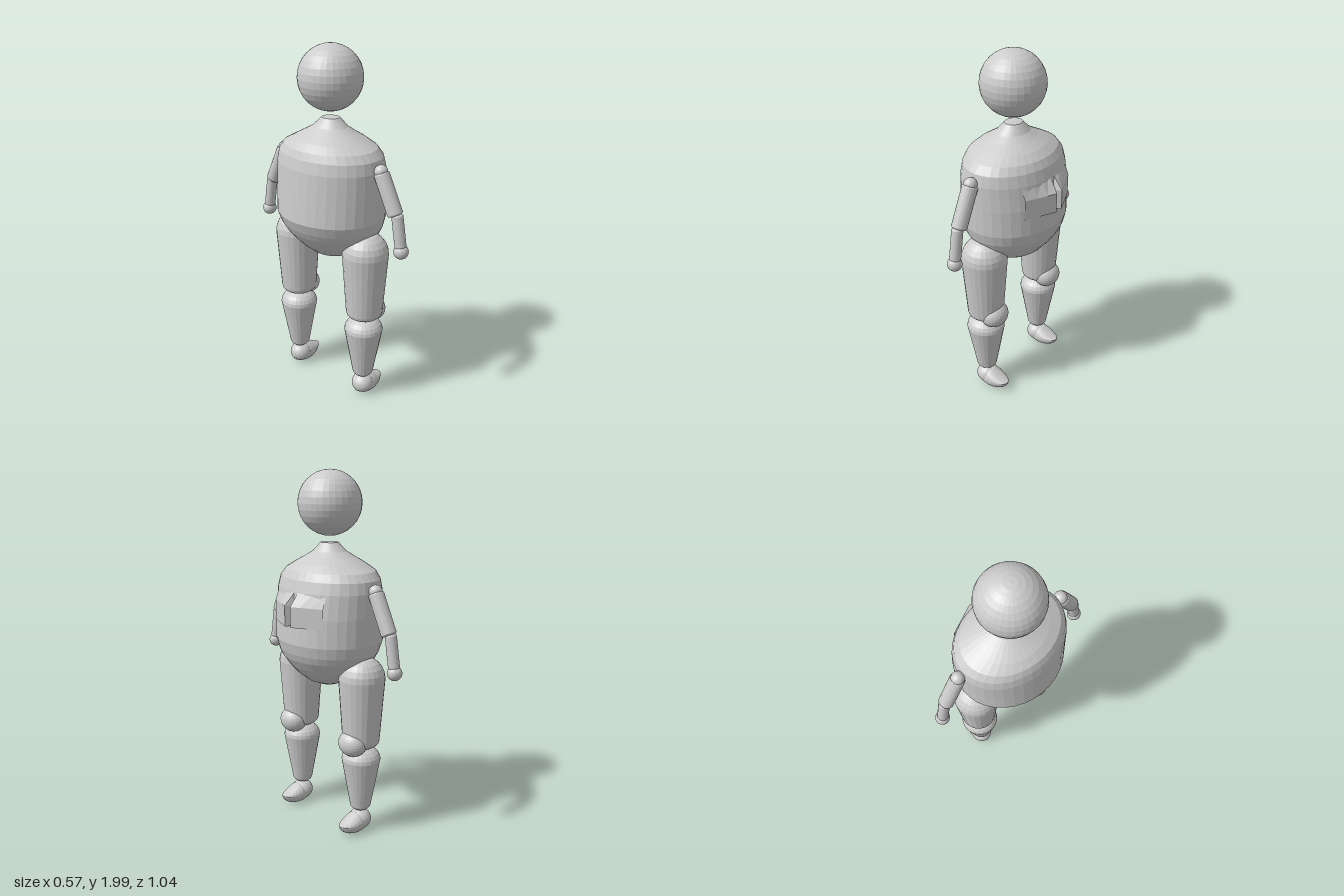
import * as THREE from 'three';

const material = new THREE.MeshStandardMaterial({ color: 0xcccccc, flatShading: true });
const sheet = new THREE.MeshStandardMaterial({ color: 0xcccccc, flatShading: true, side: THREE.DoubleSide });
const CX = -0.02; // body axis; the figure looks towards +x

function add(parent, name, geometry, mat = material) {
  const mesh = new THREE.Mesh(geometry, mat);
  mesh.name = name;
  parent.add(mesh);
  return mesh;
}

// Stack of elliptical rings, each [y, centre x, half depth x, half width z], bottom to top
function loft(rows, segments = 32) {
  const g = new THREE.LatheGeometry(rows.map(r => new THREE.Vector2(1, r[0])), segments);
  const p = g.attributes.position;
  for (let i = 0; i < p.count; i++) {
    const [, cx, rx, rz] = rows[i % rows.length];
    p.setX(i, cx + p.getX(i) * rx);
    p.setZ(i, p.getZ(i) * rz);
  }
  g.computeVertexNormals();
  return g;
}

// Tapered limb with domed ends along y: y0/r0 bottom, y1/r1 top, h0/h1 dome heights
function limb(y0, r0, h0, y1, r1, h1, segments = 24) {
  const pts = [], n = 6;
  for (let i = 0; i <= n; i++) {
    const a = (i / n) * Math.PI / 2;
    pts.push(new THREE.Vector2(r0 * Math.sin(a), y0 - h0 * Math.cos(a)));
  }
  for (let i = 0; i <= n; i++) {
    const a = (i / n) * Math.PI / 2;
    pts.push(new THREE.Vector2(r1 * Math.cos(a), y1 + h1 * Math.sin(a)));
  }
  return new THREE.LatheGeometry(pts, segments);
}

// Limb segment between two points in the y-z plane
function strut(parent, name, [ya, za], [yb, zb], r, dome) {
  const dy = yb - ya, dz = zb - za, len = Math.hypot(dy, dz);
  const mesh = add(parent, name, limb(-len / 2, r, dome, len / 2, r, dome, 20));
  mesh.position.set(CX, (ya + yb) / 2, (za + zb) / 2);
  mesh.rotation.x = Math.atan2(dz, dy);
}

function ball(parent, name, x, y, z, rx, ry = rx, rz = rx) {
  const mesh = add(parent, name, new THREE.SphereGeometry(1, 32, 16));
  mesh.scale.set(rx, ry, rz);
  mesh.position.set(x, y, z);
}

// Chest plates: a folded sheet standing out from the torso with a central cleft
function chest() {
  const zs = [-0.19, -0.125, -0.07, -0.022, 0, 0.022, 0.07, 0.125, 0.19];
  const ys = [1.39, 1.31, 1.2, 1.193];
  const g = new THREE.PlaneGeometry(1, 1, zs.length - 1, ys.length - 1);
  const p = g.attributes.position;
  for (let i = 0; i < p.count; i++) {
    const z = -zs[i % zs.length], row = Math.floor(i / zs.length), a = Math.abs(z);
    const out = a < 0.01 ? 0.25 : 0.287 - (a - 0.022) * 0.46;
    const inner = -0.01 + 0.235 * Math.sqrt(1 - (a / 0.32) ** 2);
    p.setXYZ(i, row === 0 || row === 3 ? inner : out, ys[row], z);
  }
  g.computeVertexNormals();
  return g;
}

// Slipper-like foot: rounded heel, flat sole, toe pinched to a raised tip
function slipper() {
  const g = new THREE.SphereGeometry(1, 24, 14);
  const p = g.attributes.position;
  for (let i = 0; i < p.count; i++) {
    const x = p.getX(i), t = Math.max(0, x);
    let y = p.getY(i) * 0.058;
    if (y > 0) y *= 1 - 0.85 * t;
    p.setXYZ(i, 0.025 + x * 0.11, Math.max(0.006, 0.06 + y + 0.008 * t * t), p.getZ(i) * (0.062 - 0.008 * t));
  }
  g.computeVertexNormals();
  return g;
}

export function createModel() {
  const model = new THREE.Group();
  model.name = 'figure';

  ball(model, 'head', -0.018, 1.828, 0, 0.173);

  // Barrel torso, narrow at the neck and round at the belly
  add(model, 'torso', loft([
    [0.828, 0, 0.001, 0.001],
    [0.836, 0, 0.05, 0.06],
    [0.86, 0, 0.105, 0.12],
    [0.9, 0, 0.155, 0.185],
    [0.95, -0.003, 0.2, 0.242],
    [1.0, -0.005, 0.235, 0.283],
    [1.04, -0.008, 0.255, 0.303],
    [1.1, -0.013, 0.275, 0.318],
    [1.25, -0.01, 0.266, 0.32],
    [1.38, -0.015, 0.25, 0.32],
    [1.44, -0.017, 0.235, 0.308],
    [1.48, -0.02, 0.215, 0.275],
    [1.515, -0.02, 0.175, 0.21],
    [1.55, -0.02, 0.12, 0.142],
    [1.575, -0.018, 0.085, 0.1],
    [1.605, -0.016, 0.06, 0.068],
    [1.622, -0.016, 0.046, 0.052],
    [1.625, -0.016, 0.001, 0.001],
  ], 36));
  add(model, 'chestPlates', chest(), sheet);

  for (const side of [1, -1]) {
    const label = side > 0 ? 'left' : 'right';

    const arm = new THREE.Group();
    arm.name = label + 'Arm';
    ball(arm, 'shoulder', CX, 1.395, side * 0.34, 0.036);
    strut(arm, 'upperArm', [1.19, side * 0.435], [1.38, side * 0.345], 0.042, 0.015);
    strut(arm, 'forearm', [1.02, side * 0.477], [1.18, side * 0.45], 0.031, 0.015);
    ball(arm, 'hand', CX, 0.99, side * 0.482, 0.04);
    model.add(arm);

    const leg = new THREE.Group();
    leg.name = label + 'Leg';
    leg.position.z = side * 0.25;
    add(leg, 'thigh', limb(0.555, 0.103, 0.05, 0.91, 0.128, 0.125)).position.x = CX;
    ball(leg, 'knee', 0.045, 0.55, 0, 0.073, 0.074, 0.085);
    add(leg, 'calf', limb(0.165, 0.06, 0.04, 0.44, 0.109, 0.078)).position.x = CX - 0.003;
    ball(leg, 'ankle', CX, 0.07, 0, 0.064, 0.058, 0.064);
    add(leg, 'foot', slipper());
    model.add(leg);
  }
  return model;
}
